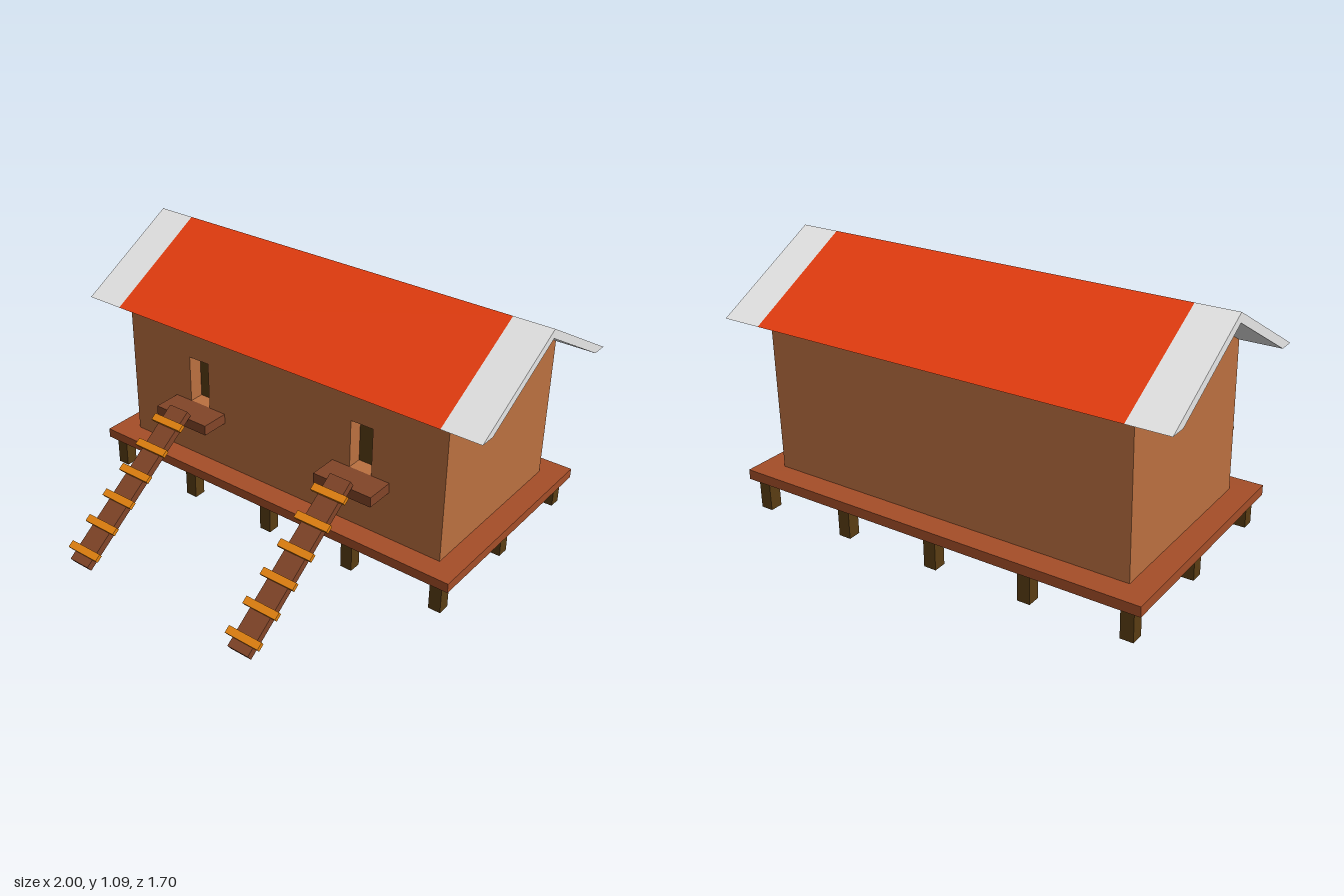
import * as THREE from 'three';

const mat = (name, color) => {
  const m = new THREE.MeshStandardMaterial({ color });
  m.name = name;
  return m;
};

export function createModel() {
  const model = new THREE.Group();
  model.name = 'stiltHouse';

  const wallTan = mat('wallTan', 0xbb7040);
  const roofRed = mat('roofRed', 0xf04010);
  const trimWhite = mat('trimWhite', 0xf0f0f0);
  const deckBrown = mat('deckBrown', 0xa54e28);
  const rampBrown = mat('rampBrown', 0x824528);
  const postDark = mat('postDark', 0x5a3d13);
  const rungOrange = mat('rungOrange', 0xf08a10);

  const add = (name, geometry, material, x = 0, y = 0, z = 0, parent = model) => {
    const mesh = new THREE.Mesh(geometry, material);
    mesh.name = name;
    mesh.position.set(x, y, z);
    parent.add(mesh);
    return mesh;
  };
  const box = (name, material, size, pos, parent) =>
    add(name, new THREE.BoxGeometry(...size), material, ...pos, parent);

  // Extrudes a [z, y] profile along x, from x0 to x1
  const prism = (points, x0, x1) => {
    const shape = new THREE.Shape(points.map(([z, y]) => new THREE.Vector2(z, y)));
    const g = new THREE.ExtrudeGeometry(shape, { depth: x1 - x0, bevelEnabled: false });
    return g.rotateY(-Math.PI / 2).translate(x1, 0, 0);
  };

  const midZ = -0.335, eaveY = 0.818, ridgeY = 1.09;
  const wallFront = 0.077, wallBack = -0.747, eaveFront = 0.15, eaveBack = -0.82;
  const halfX = 0.823, recessZ = 0.007, deckTop = 0.173;
  const doorXs = [-0.43, 0.43];

  // Deck on a perimeter of posts
  box('deck', deckBrown, [1.85, 0.043, 1.028], [0, 0.1515, -0.336]);
  for (let i = 0; i < 5; i++) {
    for (let j = 0; j < 3; j++) {
      if (j === 1 && i > 0 && i < 4) continue;
      box('post', postDark, [0.055, 0.132, 0.055], [-0.862 + i * 0.431, 0.066, 0.133 - j * 0.468]);
    }
  }

  // House body with solid eaves, set back behind the front wall
  add('houseBody', prism([
    [recessZ, deckTop], [recessZ, eaveY], [eaveFront, eaveY], [midZ, ridgeY - 0.005],
    [eaveBack, eaveY], [wallBack, eaveY], [wallBack, deckTop],
  ], -halfX, halfX), wallTan);

  // Front wall with two door openings
  const wall = new THREE.Shape();
  wall.moveTo(-halfX, deckTop).lineTo(halfX, deckTop).lineTo(halfX, eaveY).lineTo(-halfX, eaveY).closePath();
  for (const x of doorXs) {
    const hole = new THREE.Path();
    hole.moveTo(x - 0.053, 0.438).lineTo(x - 0.053, 0.655)
      .lineTo(x + 0.053, 0.655).lineTo(x + 0.053, 0.438).closePath();
    wall.holes.push(hole);
    box('doorBack', postDark, [0.106, 0.217, 0.004], [x, 0.5465, recessZ + 0.002]);
  }
  add('frontWall', new THREE.ExtrudeGeometry(wall, { depth: wallFront - recessZ, bevelEnabled: false }),
    wallTan, 0, 0, recessZ);

  // Thin red roof covering
  add('roofCovering', prism([
    [eaveFront, eaveY], [midZ, ridgeY], [eaveBack, eaveY], [midZ, ridgeY - 0.005],
  ], -halfX, halfX), roofRed);

  // White roof overhangs at both ends
  const overhang = [
    [eaveFront, eaveY], [midZ, ridgeY], [eaveBack, eaveY],
    [wallBack, eaveY], [midZ, 1.05], [wallFront, eaveY],
  ];
  add('roofOverhangLeft', prism(overhang, halfX, 1), trimWhite);
  add('roofOverhangRight', prism(overhang, -1, -halfX), trimWhite);

  // Landings and cleated ramps
  const slope = Math.atan2(0.45, 0.635);
  for (const x of doorXs) {
    box('landing', rampBrown, [0.28, 0.046, 0.129], [x, 0.415, 0.1405]);
    const ramp = new THREE.Group();
    ramp.name = 'ramp';
    ramp.position.set(x, 0.242, 0.522);
    ramp.rotation.x = slope;
    model.add(ramp);
    box('rampPlank', rampBrown, [0.1, 0.033, 0.778], [0, 0, 0], ramp);
    for (let i = 0; i < 6; i++) {
      box('rung', rungOrange, [0.16, 0.018, 0.032], [0, 0.0245, -0.308 + i * 0.1287], ramp);
    }
  }
  return model;
}
